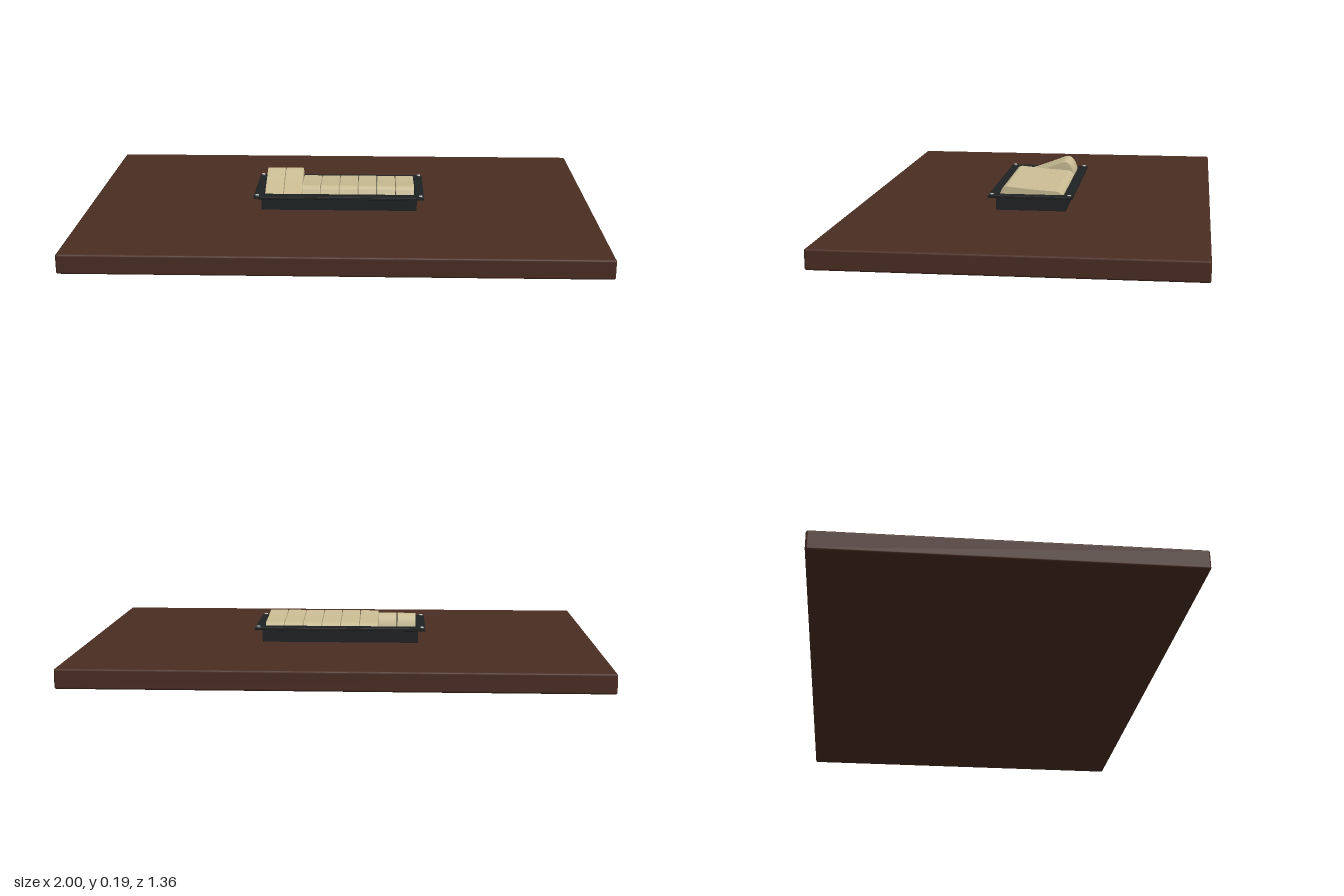
import * as THREE from 'three';
import { RoundedBoxGeometry } from 'three/addons/geometries/RoundedBoxGeometry.js';

const material = (name, color) => {
  const m = new THREE.MeshStandardMaterial({ color });
  m.name = name;
  return m;
};

function rectangle(Type, w, d) {
  const s = new Type();
  s.moveTo(-w / 2, -d / 2);
  s.lineTo(w / 2, -d / 2);
  s.lineTo(w / 2, d / 2);
  s.lineTo(-w / 2, d / 2);
  s.closePath();
  return s;
}

// Flat rectangular ring standing on y = 0, with an optional bevel
function ring(w, d, holeW, holeD, height, bevel = 0) {
  const s = rectangle(THREE.Shape, w, d);
  s.holes.push(rectangle(THREE.Path, holeW, holeD));
  const g = new THREE.ExtrudeGeometry(s, {
    depth: height - 2 * bevel, bevelEnabled: bevel > 0,
    bevelThickness: bevel, bevelSize: bevel, bevelOffset: -bevel, bevelSegments: 2,
  });
  g.translate(0, 0, bevel);
  g.rotateX(-Math.PI / 2);
  return g;
}

// Rocker profile drawn in (z, y) and extruded across x
function rocker(width, raised) {
  const s = new THREE.Shape();
  s.moveTo(-0.122, 0.1);
  if (raised) {
    s.lineTo(-0.122, 0.138);
    s.bezierCurveTo(-0.115, 0.165, -0.1, 0.196, -0.068, 0.183);
    s.lineTo(0, 0.157);
    s.lineTo(0.095, 0.124);
    s.quadraticCurveTo(0.115, 0.117, 0.12, 0.1);
  } else {
    s.lineTo(-0.122, 0.134);
    s.quadraticCurveTo(-0.114, 0.149, -0.095, 0.151);
    s.lineTo(0, 0.157);
    s.lineTo(0.09, 0.166);
    s.quadraticCurveTo(0.108, 0.167, 0.114, 0.153);
    s.lineTo(0.123, 0.134);
    s.lineTo(0.123, 0.1);
  }
  s.closePath();
  const b = 0.002;
  const g = new THREE.ExtrudeGeometry(s, {
    depth: width - 2 * b, curveSegments: 10,
    bevelThickness: b, bevelSize: b, bevelOffset: -b, bevelSegments: 2,
  });
  g.translate(0, 0, b - width / 2);
  g.rotateY(-Math.PI / 2);
  return g;
}

export function createModel() {
  const group = new THREE.Group();
  const wood = material('dark wood', 0x4a2d22);
  const black = material('black plastic', 0x1f2223);
  const cream = material('cream plastic', 0xcabd94);
  const steel = material('screw steel', 0xc4c6c2);

  const add = (name, geometry, mat, x = 0, y = 0, z = 0) => {
    const mesh = new THREE.Mesh(geometry, mat);
    mesh.name = name;
    mesh.position.set(x, y, z);
    group.add(mesh);
    return mesh;
  };

  // Board
  add('board', new RoundedBoxGeometry(2, 0.075, 1.36, 3, 0.008), wood, 0, 0.0375, 0);

  // Open housing with a floor, and the flange around its top
  add('housingWalls', ring(0.615, 0.268, 0.601, 0.252, 0.054), black, 0, 0.074, 0);
  add('housingFloor', new THREE.BoxGeometry(0.603, 0.03, 0.254), black, 0, 0.09, 0);
  add('flange', ring(0.67, 0.324, 0.6, 0.252, 0.011, 0.002), black, 0, 0.126, 0);

  // Slim raised rims along the long sides of the opening
  for (const side of [-1, 1]) {
    add('openingRim', new THREE.BoxGeometry(0.6, 0.003, 0.008), black, 0, 0.1375, side * 0.131);
  }

  // Corner screws with dark collars
  for (const x of [-0.322, 0.322]) {
    for (const z of [-0.148, 0.148]) {
      add('screwCollar', new THREE.CylinderGeometry(0.01, 0.012, 0.004, 16), black, x, 0.1375, z);
      add('screwHead', new THREE.CylinderGeometry(0.007, 0.008, 0.003, 12), steel, x, 0.1402, z);
    }
  }

  // Row of eight rockers, the two on the right tipped the other way
  const pitch = 0.0745;
  for (let i = 0; i < 8; i++) {
    add('rocker', rocker(0.072, i < 2), cream, (i - 3.5) * pitch);
  }
  return group;
}
